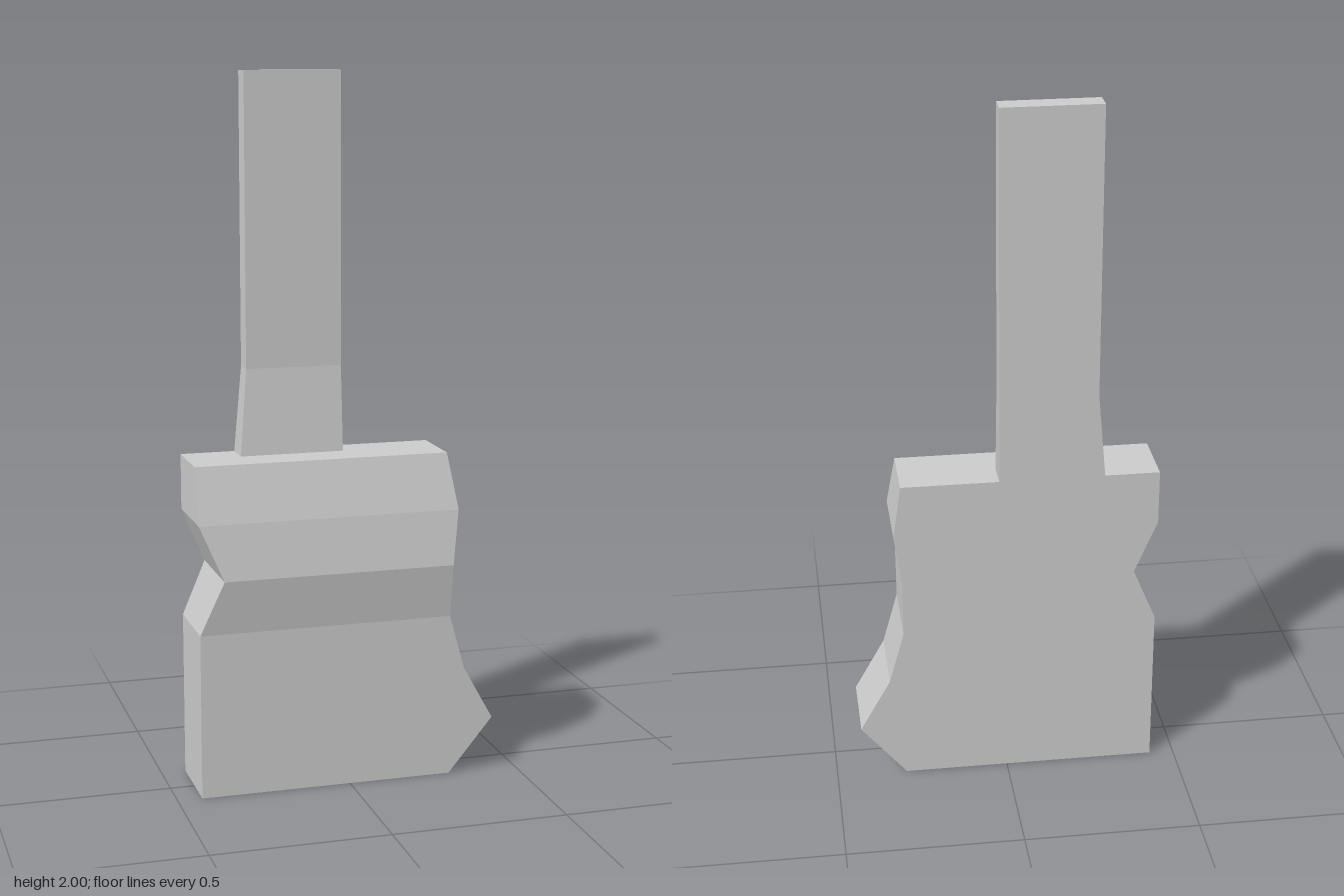
import * as THREE from 'three';

const BACK = -0.127;
const material = new THREE.MeshStandardMaterial({ color: 0xcccccc, flatShading: true });

// Stacks rectangular sections [y, left edge, right edge, front z] on a flat back.
function stackSections(name, sections) {
  const positions = [];
  const index = [];
  for (const [y, x0, x1, front] of sections) {
    positions.push(x0, y, BACK, x0, y, front, x1, y, front, x1, y, BACK);
  }
  const quad = (a, b, c, d) => index.push(a, b, c, a, c, d);
  const last = (sections.length - 1) * 4;
  for (let i = 0; i < last; i += 4) {
    for (let j = 0; j < 4; j++) {
      const k = (j + 1) % 4;
      quad(i + j, i + k, i + 4 + k, i + 4 + j);
    }
  }
  quad(3, 2, 1, 0);
  quad(last, last + 1, last + 2, last + 3);

  const indexed = new THREE.BufferGeometry();
  indexed.setAttribute('position', new THREE.Float32BufferAttribute(positions, 3));
  indexed.setIndex(index);
  const geometry = indexed.toNonIndexed();
  geometry.computeVertexNormals();
  const mesh = new THREE.Mesh(geometry, material);
  mesh.name = name;
  return mesh;
}

export function createModel() {
  const model = new THREE.Group();
  model.name = 'bladeWithGrip';

  // Wide lower body: pointed corner at the bottom, waist and ridge above
  model.add(stackSections('body', [
    [0, -0.43, 0.297, 0.103],
    [0.157, -0.43, 0.427, 0.103],
    [0.313, -0.43, 0.34, 0.103],
    [0.47, -0.43, 0.297, 0.103],
    [0.625, -0.365, 0.297, 0.127],
    [0.78, -0.43, 0.319, 0.103],
    [0.937, -0.43, 0.297, 0.06],
  ]));

  // Thin upright bar, flared at its foot
  model.add(stackSections('upright', [
    [0.937, -0.275, 0.022, -0.045],
    [1.18, -0.253, 0.022, -0.066],
    [2, -0.253, 0.022, -0.066],
  ]));

  return model;
}
